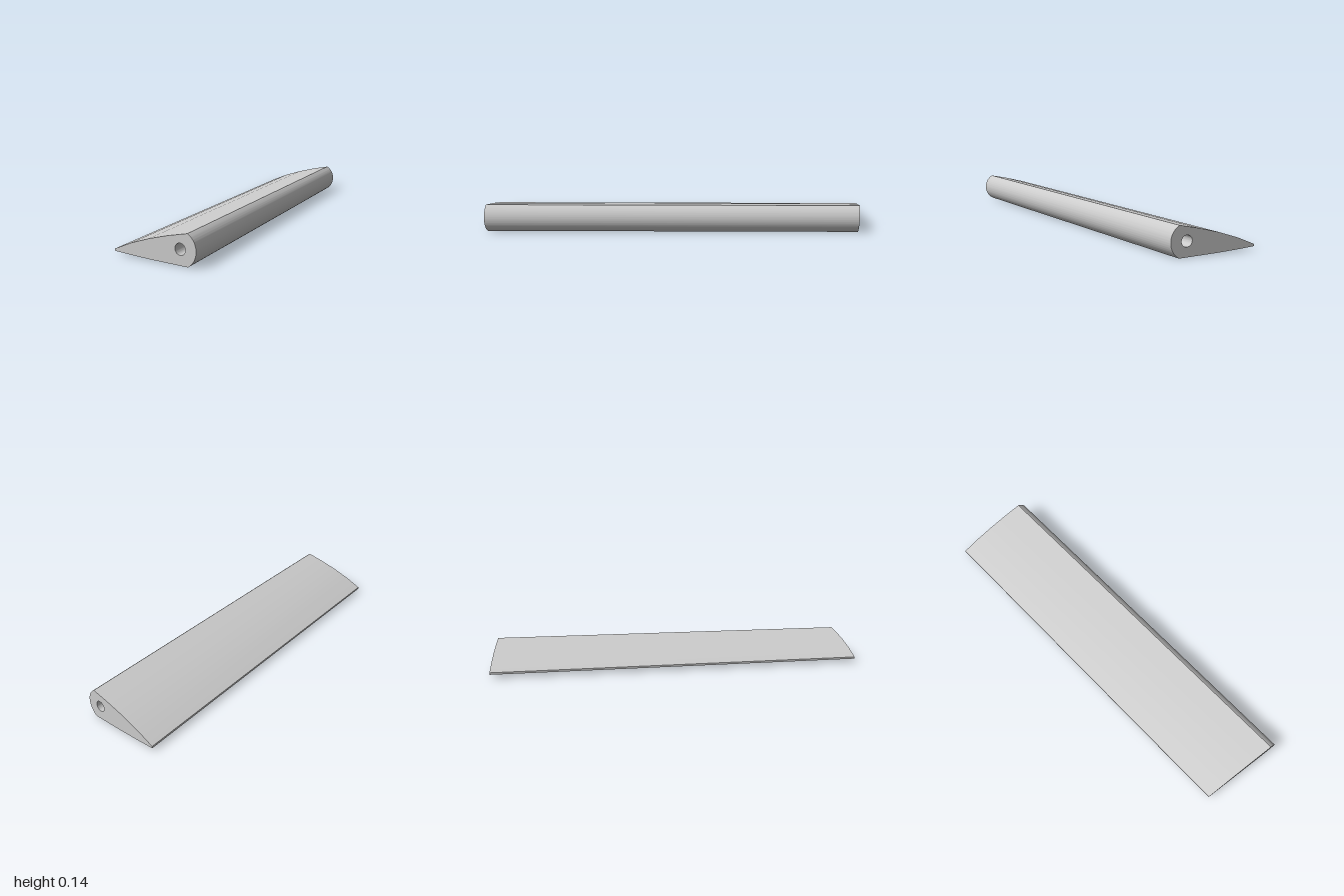
import * as THREE from 'three';
import { toCreasedNormals } from 'three/addons/utils/BufferGeometryUtils.js';

export function createModel() {
  const group = new THREE.Group();
  group.name = 'wingSection';

  // Wing profile: thin blunt trailing edge, gently curved skins, round nose
  const noseX = 0.1414, noseY = 0.0725, noseR = 0.0836;
  const half = Math.PI / 3;
  const profile = new THREE.Shape();
  profile.moveTo(-0.205, 0.027);
  profile.lineTo(-0.205, 0.017);
  profile.lineTo(-0.115, 0.011);
  profile.lineTo(-0.015, 0.006);
  profile.lineTo(0.085, 0.003);
  profile.absarc(noseX, noseY, noseR, -half, half, false);
  profile.lineTo(0.085, 0.124);
  profile.lineTo(-0.015, 0.098);
  profile.lineTo(-0.115, 0.065);
  profile.closePath();

  // Spar hole running the full span
  const hole = new THREE.Path();
  hole.absarc(0.1455, 0.073, 0.0265, 0, Math.PI * 2, true);
  profile.holes.push(hole);

  let geometry = new THREE.ExtrudeGeometry(profile, {
    depth: 1, bevelEnabled: false, curveSegments: 16,
  });

  // Slant the end faces and skew the span slightly sideways
  const p = geometry.attributes.position;
  for (let i = 0; i < p.count; i++) {
    const x = p.getX(i), t = p.getZ(i);
    const front = 1 + 0.11 * (x - 0.225);
    const back = -1 + 0.11 * (x + 0.205);
    p.setX(i, x - 0.022 * (1 - t));
    p.setZ(i, back + (front - back) * t);
  }
  geometry = toCreasedNormals(geometry, 0.35);

  const wing = new THREE.Mesh(geometry, new THREE.MeshStandardMaterial({ color: 0xcccccc }));
  wing.name = 'wingPanel';
  group.add(wing);
  return group;
}
